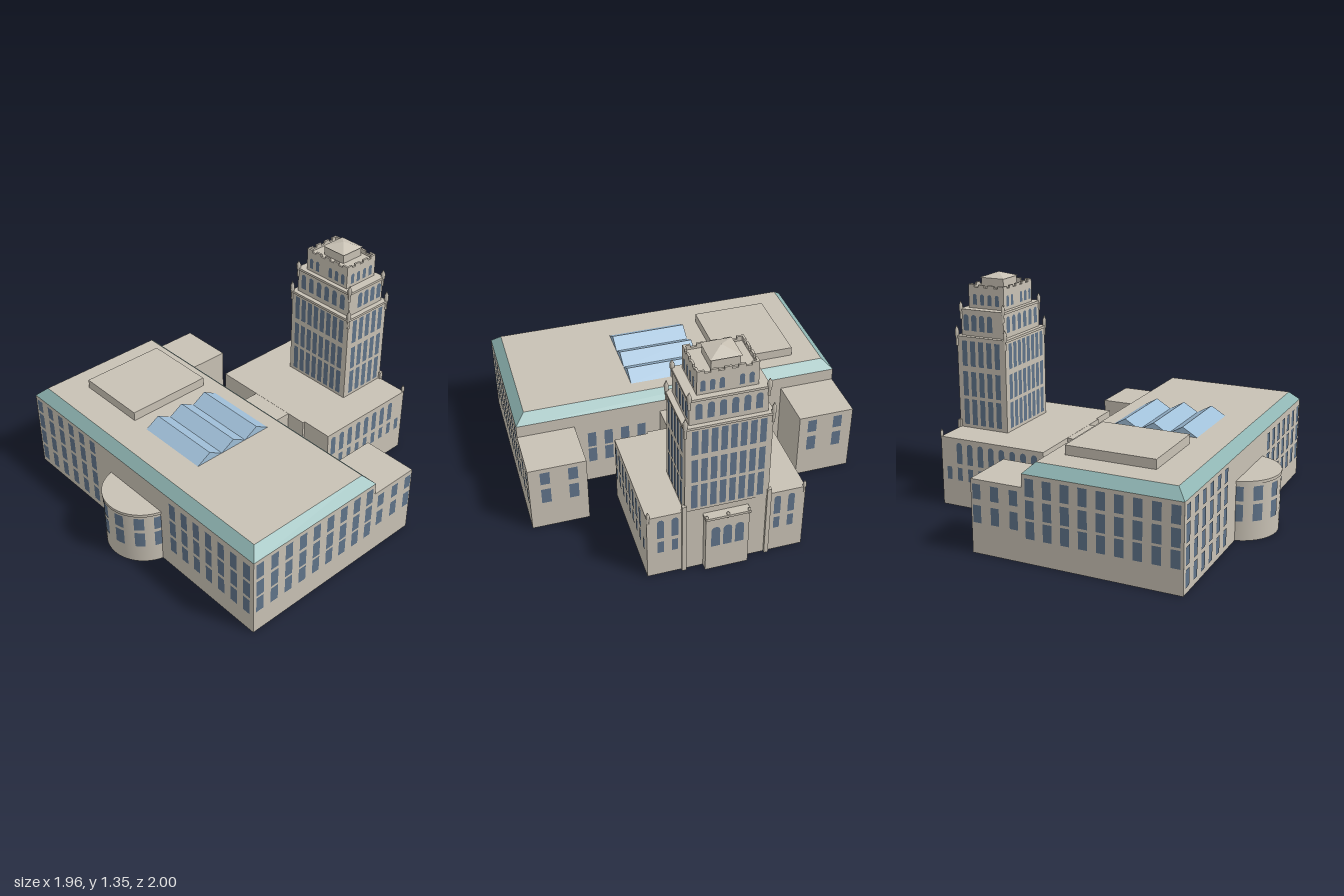
import * as THREE from 'three';
import { mergeGeometries } from 'three/addons/utils/BufferGeometryUtils.js';

const mat = (name, color) => {
  const m = new THREE.MeshStandardMaterial({ color, side: THREE.DoubleSide });
  m.name = name;
  return m;
};

// Box shell with chosen faces left out; the top may be drawn in to slope the sides.
// Face order: +x, -x, top, bottom, +z, -z
function shell([x0, x1, y0, y1, z0, z1], drop = [3], insetX = 0, insetZ = 0) {
  const g = new THREE.BoxGeometry(x1 - x0, y1 - y0, z1 - z0);
  const p = g.attributes.position;
  for (let i = 0; i < p.count; i++) {
    if (p.getY(i) > 0) {
      p.setX(i, p.getX(i) - Math.sign(p.getX(i)) * insetX);
      p.setZ(i, p.getZ(i) - Math.sign(p.getZ(i)) * insetZ);
    }
  }
  const index = Array.from(g.index.array).filter((_, i) => !drop.includes(Math.floor(i / 6)));
  g.setIndex(index);
  g.clearGroups();
  const flat = g.toNonIndexed();
  flat.computeVertexNormals();
  flat.translate((x0 + x1) / 2, (y0 + y1) / 2, (z0 + z1) / 2);
  return flat;
}

// Flat pane, square or with a round arched head, standing on y = 0
function pane(w, h, arched) {
  const s = new THREE.Shape();
  s.moveTo(-w / 2, 0);
  s.lineTo(w / 2, 0);
  if (arched) s.absarc(0, h - w / 2, w / 2, 0, Math.PI, false);
  else s.lineTo(w / 2, h).lineTo(-w / 2, h);
  s.closePath();
  return new THREE.ShapeGeometry(s, 4).toNonIndexed();
}

const spread = (a, b, n) => Array.from({ length: n }, (_, i) => a + ((b - a) * i) / (n - 1));

export function createModel() {
  const model = new THREE.Group();
  model.name = 'civicBuilding';
  const stone = mat('stone', 0xc8c1b4);
  const windowBlue = mat('windowBlue', 0x5f7389);
  const glass = mat('skylightGlass', 0xa0bfd8);
  const copper = mat('greenCopper', 0x8fb5b3);

  const add = (name, geometry, material = stone) => {
    const m = new THREE.Mesh(geometry, material);
    m.name = name;
    model.add(m);
  };
  const merge = (name, list, material = stone) => add(name, mergeGeometries(list), material);

  // Grid of panes on one wall: us along the wall, rows as [bottom, top]
  const windows = (name, side, plane, us, rows, w, arched = false) => {
    const list = [];
    const e = 0.003;
    for (const u of us) for (const [a, b] of rows) {
      const g = pane(w, b - a, arched);
      if (side === 'front') g.translate(u, a, plane + e);
      if (side === 'back') g.rotateY(Math.PI).translate(u, a, plane - e);
      if (side === 'left') g.rotateY(Math.PI / 2).translate(plane + e, a, u);
      if (side === 'right') g.rotateY(-Math.PI / 2).translate(plane - e, a, u);
      list.push(g);
    }
    merge(name, list, windowBlue);
  };

  // Main block with sloped copper roof edge
  add('mainWalls', shell([-0.975, 0.975, 0, 0.5, -0.09, 0.82], [2, 3]));
  add('mansardEdge', shell([-0.975, 0.975, 0.5, 0.555, -0.09, 0.82], [2, 3], 0.058, 0.056), copper);
  add('mainRoof', shell([-0.917, 0.917, 0.545, 0.555, -0.034, 0.764], [0, 1, 3, 4, 5]));
  add('roofBox', shell([-0.755, -0.305, 0.555, 0.61, 0.05, 0.575]));

  // Three ridged skylights
  merge('skylights', [0, 1, 2].map(i =>
    shell([-0.195, 0.26, 0.555, 0.606, 0.05 + i * 0.175, 0.225 + i * 0.175], [2, 3], 0, 0.0875)), glass);

  // Main block windows
  windows('frontRightWindows', 'front', 0.82, spread(-0.93, -0.395, 6),
    [[0.4, 0.48], [0.277, 0.38], [0.157, 0.257], [0.036, 0.135]], 0.05);
  windows('frontLeftWindows', 'front', 0.82, spread(0.33, 0.925, 7),
    [[0.36, 0.465], [0.24, 0.342], [0.12, 0.22]], 0.05);
  const sideRows = [[0.38, 0.48], [0.257, 0.36], [0.143, 0.243]];
  windows('leftEndWindows', 'left', 0.975, spread(0.777, -0.043, 9), sideRows, 0.052);
  windows('rightEndWindows', 'right', -0.975, spread(0.777, -0.043, 9), sideRows, 0.052);
  for (const s of [-1, 1]) {
    windows('mainBackWindows', 'back', -0.09, [0.24, 0.34, 0.44, 0.54].map(x => x * s), sideRows.slice(1), 0.05);
  }

  // Curved front bay with a flat back and thin cornice
  const bayZ = 0.765;
  const drum = (r, y0, y1, capped) => {
    const parts = [new THREE.CylinderGeometry(r, r, y1 - y0, 32, 1, true, -Math.PI / 2, Math.PI)
      .translate(0, (y0 + y1) / 2, bayZ)];
    if (capped) parts.push(new THREE.CircleGeometry(r, 32, 0, Math.PI)
      .rotateX(-Math.PI / 2).rotateY(Math.PI).translate(0, y1, bayZ));
    return parts;
  };
  merge('frontBay', [...drum(0.229, 0, 0.34, false),
    new THREE.PlaneGeometry(0.458, 0.35).rotateY(Math.PI).translate(0, 0.175, bayZ)]);
  merge('bayCornice', drum(0.235, 0.335, 0.352, true));
  const bayPanes = [];
  for (const deg of [-73, -45, -15, 15, 45, 73]) for (const [a, b] of [[0.115, 0.215], [0.235, 0.32]]) {
    const t = THREE.MathUtils.degToRad(deg);
    bayPanes.push(new THREE.CylinderGeometry(0.232, 0.232, b - a, 4, 1, true, t - 0.125, 0.25)
      .translate(0, (a + b) / 2, bayZ));
  }
  merge('bayWindows', bayPanes, windowBlue);

  // Rear wings and connecting passage
  const wingRows = [[0.315, 0.4], [0.18, 0.28]];
  for (const [side, s] of [['left', 1], ['right', -1]]) {
    const x = [0.64 * s, 0.975 * s].sort((a, b) => a - b);
    add(side + 'Wing', shell([x[0], x[1], 0, 0.425, -0.402, -0.09]));
    windows(side + 'WingBackWindows', 'back', -0.402, [0.72 * s, 0.88 * s], wingRows, 0.055);
    windows(side + 'WingSideWindows', side, 0.975 * s, [-0.14, -0.255, -0.365], wingRows, 0.05);
  }
  add('passage', shell([-0.16, 0.125, 0, 0.424, -0.26, -0.09]));

  // Tower base
  add('towerBase', shell([-0.45, 0.25, 0, 0.425, -0.947, -0.255]));
  add('towerBaseSide', shell([0.25, 0.445, 0, 0.425, -0.947, -0.27]));
  for (const [side, plane] of [['left', 0.445], ['right', -0.45]]) {
    windows(side + 'BaseArches', side, plane, spread(-0.314, -0.82, 8), [[0.27, 0.4]], 0.038, true);
    windows(side + 'BaseWindows', side, plane, spread(-0.314, -0.893, 9), [[0.165, 0.245]], 0.033);
  }
  for (const s of [-1, 1]) {
    windows('baseBackArches', 'back', -0.947, [0.29 * s, 0.37 * s], [[0.27, 0.4]], 0.038, true);
    windows('baseBackWindows', 'back', -0.947, [0.29 * s, 0.37 * s], [[0.165, 0.245]], 0.035);
  }

  // Entrance portal at the back
  add('portal', shell([-0.115, 0.13, 0, 0.375, -0.99, -0.945]));
  add('portalCornice', shell([-0.12, 0.135, 0.37, 0.385, -1, -0.945], []));
  windows('portalArches', 'back', -0.99, [-0.06, 0.0075, 0.075], [[0.17, 0.31]], 0.05, true);

  // Tower tiers, each a shaft with a thin projecting cornice
  const tiers = [
    ['lowerTier', -0.232, 0.238, 0.425, 0.985, -0.952, -0.62],
    ['middleTier', -0.208, 0.213, 0.985, 1.145, -0.933, -0.643],
    ['upperTier', -0.16, 0.166, 1.145, 1.265, -0.906, -0.665],
  ];
  for (const [name, x0, x1, y0, y1, z0, z1] of tiers) {
    add(name, shell([x0, x1, y0, y1, z0, z1]));
    if (name !== 'upperTier') {
      add(name + 'Cornice', shell([x0 - 0.006, x1 + 0.006, y1 - 0.008, y1 + 0.006, z0 - 0.006, z1 + 0.006], []));
    }
  }
  const lowerRows = [[0.81, 0.965], [0.625, 0.777], [0.445, 0.605]];
  const [, mid, up] = tiers;
  const midRow = [[1.022, 1.12]];
  const upRow = [[1.172, 1.237]];
  const upXs = [-0.12, -0.07, 0.035, 0.085, 0.135];
  for (const [side, i] of [['front', 6], ['back', 5]]) {
    windows(side + 'LowerTowerWindows', side, tiers[0][i], spread(-0.18, 0.186, 8), lowerRows, 0.035);
    windows(side + 'MiddleTowerArches', side, mid[i], spread(-0.157, 0.162, 6), midRow, 0.037, true);
    windows(side + 'UpperTowerArches', side, up[i], upXs, upRow, 0.027, true);
  }
  for (const [side, i] of [['left', 2], ['right', 1]]) {
    windows(side + 'LowerTowerWindows', side, tiers[0][i], spread(-0.675, -0.9, 5), lowerRows, 0.035);
    windows(side + 'MiddleTowerArches', side, mid[i], spread(-0.735, -0.898, 4), midRow, 0.036, true);
    windows(side + 'UpperTowerArches', side, up[i], spread(-0.71, -0.862, 4), upRow, 0.027, true);
  }

  // Crenellated parapet: low wall, then merlons
  const [, px0, px1, , , pz0, pz1] = up;
  const t = 0.012;
  const parapet = [];
  const wall = (x0, x1, y0, y1, z0, z1) => parapet.push(shell([x0, x1, y0, y1, z0, z1], []));
  for (const z of [pz0, pz1 - t]) {
    wall(px0, px1, 1.262, 1.277, z, z + t);
    for (const c of spread(px0 + 0.02, px1 - 0.02, 5)) wall(c - 0.02, c + 0.02, 1.277, 1.292, z, z + t);
  }
  for (const x of [px0, px1 - t]) {
    wall(x, x + t, 1.262, 1.277, pz0, pz1);
    for (const c of spread(pz0 + 0.02, pz1 - 0.02, 4)) wall(x, x + t, 1.277, 1.292, c - 0.02, c + 0.02);
  }
  merge('parapet', parapet);

  // Lantern with pyramid roof
  add('lantern', shell([-0.072, 0.082, 1.265, 1.322, -0.87, -0.718]));
  add('lanternRoof', shell([-0.079, 0.089, 1.322, 1.352, -0.877, -0.711], [2], 0.084, 0.083));

  // Corner pinnacles: a slim shaft with a swollen pointed head
  const profile = [[0.008, 0], [0.008, 0.4], [0.013, 0.5], [0.013, 0.75], [0.005, 0.9], [0, 1]];
  const pinnacles = [];
  const pinnacle = (x, y0, y1, z, k = 1) => pinnacles.push(new THREE.LatheGeometry(
    profile.map(([r, h]) => new THREE.Vector2(r * k, h * (y1 - y0))), 6).translate(x, y0, z));
  for (const [[, x0, x1, , , z0, z1], y0, y1] of [[tiers[0], 0.93, 1.057], [mid, 1.09, 1.2]]) {
    for (const x of [x0, x1]) for (const z of [z0, z1]) pinnacle(x, y0, y1, z);
  }
  for (const x of [-0.443, 0.438]) pinnacle(x, 0.39, 0.472, -0.945, 0.8);
  for (const x of [-0.112, 0.0075, 0.127]) pinnacle(x, 0.36, 0.405, -0.99, 0.7);
  merge('pinnacles', pinnacles);

  // Slim corner pilasters at the back of the base
  merge('pilasters', [-0.235, 0.241].map(x =>
    shell([x - 0.012, x + 0.012, 0, 0.47, -0.962, -0.94])));

  return model;
}
